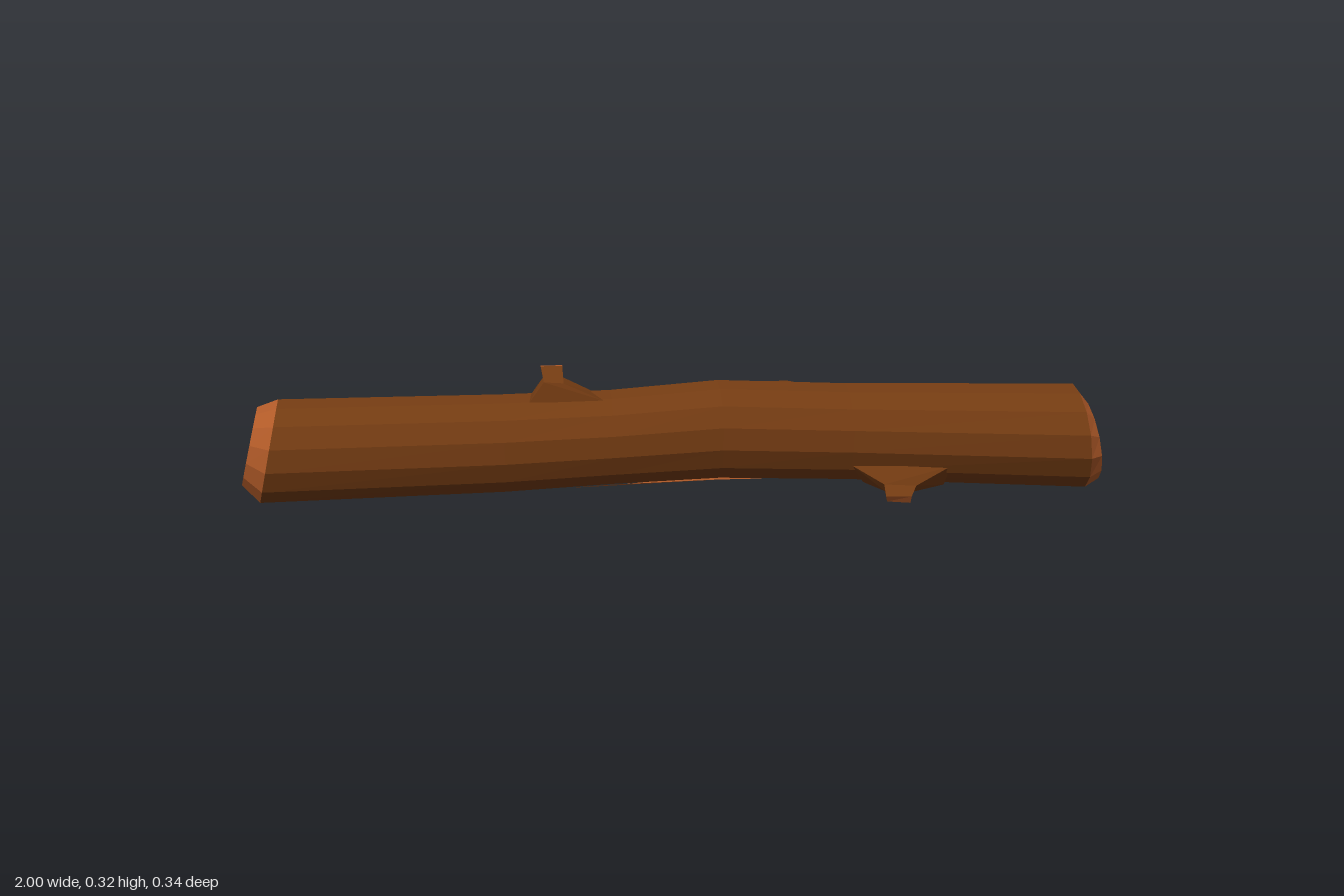
import * as THREE from 'three';

const SIDES = 14;
const bark = new THREE.MeshStandardMaterial({ color: 0x733b12, flatShading: true, side: THREE.DoubleSide });
const wood = new THREE.MeshStandardMaterial({ color: 0xb05a28, flatShading: true, side: THREE.DoubleSide });

// Cross-sections: x, centre y, centre z, radius y, radius z, x shift at the top
const outer = [
  [-0.935, 0.125, -0.065, 0.122, 0.108, 0.025],
  [-0.4, 0.136, -0.03, 0.116, 0.107, 0],
  [-0.15, 0.146, -0.018, 0.112, 0.107, 0],
  [0.1, 0.16, -0.007, 0.117, 0.108, 0],
  [0.4, 0.15, 0.011, 0.115, 0.111, 0],
  [0.95, 0.131, 0.041, 0.125, 0.128, -0.012],
];
const rightRim = [0.981, 0.125, 0.038, 0.1, 0.103, -0.018];
const leftRim = [-0.979, 0.138, -0.066, 0.092, 0.084, 0.021];
const inner = [
  [0.4, 0.15, 0.011, 0.092, 0.09, 0],
  [0.1, 0.158, -0.007, 0.09, 0.088, 0],
  [-0.4, 0.14, -0.03, 0.092, 0.088, 0],
];

// Point on a section; k counts sides from the top towards the front
function onSection([x, cy, cz, ry, rz, slant], k, scale = 1) {
  const a = (k / SIDES) * Math.PI * 2;
  return [x + slant * Math.cos(a), cy + ry * scale * Math.cos(a), cz + rz * scale * Math.sin(a)];
}
const ring = (s) => Array.from({ length: SIDES }, (_, k) => onSection(s, k));

// Section of the bark at any x
function sectionAt(x) {
  let i = 0;
  while (i < outer.length - 2 && outer[i + 1][0] < x) i++;
  const t = (x - outer[i][0]) / (outer[i + 1][0] - outer[i][0]);
  return outer[i].map((v, n) => v + (outer[i + 1][n] - v) * t);
}

// Skin between successive loops of points
function loft(loops, closed = true) {
  const n = loops[0].length, index = [];
  for (let i = 0; i < loops.length - 1; i++) {
    for (let j = 0; j < (closed ? n : n - 1); j++) {
      const a = i * n + j, b = i * n + ((j + 1) % n);
      index.push(a, b, a + n, b, b + n, a + n);
    }
  }
  const g = new THREE.BufferGeometry();
  g.setAttribute('position', new THREE.Float32BufferAttribute(loops.flat(2), 3));
  g.setIndex(index);
  g.computeVertexNormals();
  return g;
}

function part(name, geometry, material) {
  const m = new THREE.Mesh(geometry, material);
  m.name = name;
  return m;
}

// Broken branch: bark sides with a bare wood end
function stub(name, loops) {
  const g = new THREE.Group();
  g.name = name;
  const [a, b, c, d] = loops[loops.length - 1];
  g.add(part('stubBark', loft(loops), bark), part('stubEnd', loft([[a, b], [d, c]], false), wood));
  return g;
}

export function createModel() {
  const log = new THREE.Group();
  log.name = 'hollowLog';

  // Bark, bevelled rims and hollow core
  log.add(part('bark', loft(outer.map(ring)), bark));
  log.add(part('leftRim', loft([outer[outer.length - 1], rightRim].map(ring)), wood));
  log.add(part('rightRim', loft([leftRim, outer[0]].map(ring)), wood));
  log.add(part('hollow', loft([rightRim, ...inner, leftRim].map(ring)), wood));

  // Bare strip on the underside, running diagonally and pointed at both ends
  const strip = [[-0.24, 6, 6.05], [-0.15, 6, 6.7], [0.1, 6.5, 7.4], [0.2, 7, 7.7], [0.29, 7.6, 7.65]];
  log.add(part('bareStrip', loft(strip.map(([x, k0, k1]) =>
    [k0, (k0 + k1) / 2, k1].map((k) => onSection(sectionAt(x), k, 1.015))), false), wood));

  // Branch stubs
  log.add(stub('topStub', [
    [[-0.34, 0.24, 0.02], [-0.17, 0.245, 0.035], [-0.17, 0.245, -0.025], [-0.34, 0.24, -0.025]],
    [[-0.305, 0.288, 0.02], [-0.26, 0.285, 0.022], [-0.26, 0.293, -0.011], [-0.305, 0.293, -0.011]],
    [[-0.31, 0.32, -0.008], [-0.26, 0.32, -0.008], [-0.26, 0.32, -0.016], [-0.31, 0.32, -0.016]],
  ]));
  log.add(stub('backStub', [
    [[0.17, 0.23, -0.085], [0.37, 0.235, -0.08], [0.36, 0.17, -0.1], [0.18, 0.17, -0.105]],
    [[0.23, 0.24, -0.148], [0.29, 0.24, -0.152], [0.29, 0.222, -0.158], [0.23, 0.222, -0.154]],
  ]));
  log.add(stub('frontStub', [
    [[0.4, 0.09, 0.108], [0.63, 0.085, 0.12], [0.62, 0.035, 0.095], [0.43, 0.045, 0.085]],
    [[0.47, 0.05, 0.133], [0.545, 0.045, 0.135], [0.535, 0.025, 0.118], [0.475, 0.03, 0.118]],
    [[0.47, 0.027, 0.154], [0.53, 0.025, 0.155], [0.53, 0.007, 0.144], [0.475, 0.012, 0.143]],
  ]));
  return log;
}
